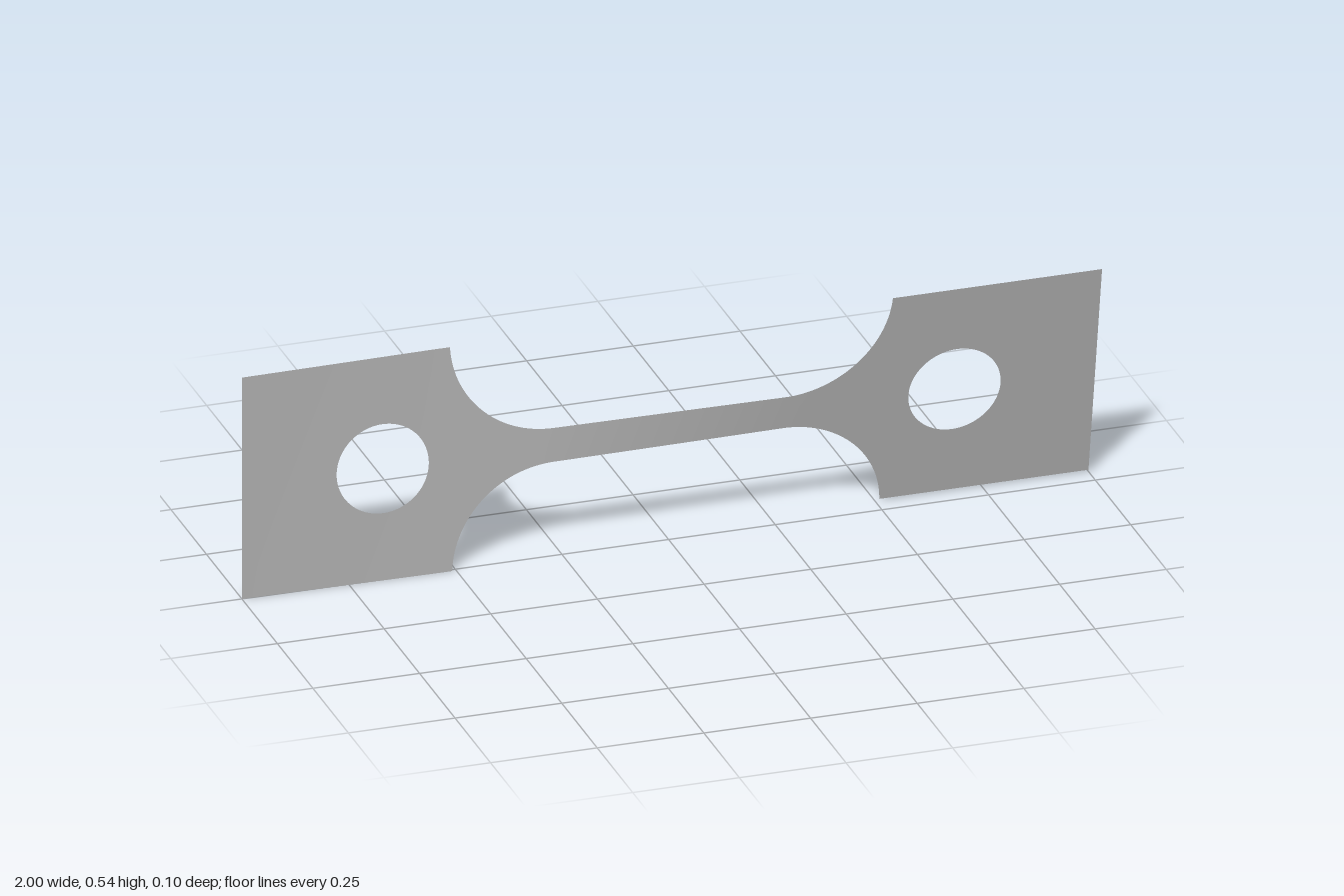
import * as THREE from 'three';

const MID = 0.271;                  // height of the long axis, also half the tab height
const NECK = 0.041;                 // half height of the neck
const FILLET = { x: 0.27, r: 0.24 };
const HOLE = { x: 0.67, r: 0.108 };
const ROWS = 6;

// Twist about the long axis in degrees, as [x, angle] stations
const TWIST = [[-1, 0], [-0.8, -0.7], [-0.55, -1.6], [-0.3, -1.7], [0.3, 9.6], [0.5, 10.2], [1, 10.2]];

function twist(x) {
  let i = 0;
  while (i < TWIST.length - 2 && x > TWIST[i + 1][0]) i++;
  const [x0, a0] = TWIST[i], [x1, a1] = TWIST[i + 1];
  return THREE.MathUtils.degToRad(a0 + (a1 - a0) * (x - x0) / (x1 - x0));
}

// Half height of the outline at x
function outer(x) {
  const d = Math.abs(x) - FILLET.x;
  if (d <= 0) return NECK;
  if (d >= FILLET.r - 1e-6) return MID;
  return Math.min(MID, NECK + FILLET.r - Math.sqrt(FILLET.r ** 2 - d * d));
}

// Half height of the round hole at x
function inner(x) {
  const d = Math.abs(x) - HOLE.x;
  return Math.sqrt(Math.max(0, HOLE.r ** 2 - d * d));
}

// Twisted sheet over sorted x stations, upper and lower halves
function sheet(xs) {
  const pos = [], nor = [], index = [];
  for (const side of [1, -1]) {
    const base = pos.length / 3;
    for (const x of xs) {
      const a = twist(x);
      const slope = (twist(Math.min(1, x + 0.04)) - twist(Math.max(-1, x - 0.04))) / 0.08;
      for (let j = 0; j <= ROWS; j++) {
        const s = side * THREE.MathUtils.lerp(inner(x), outer(x), j / ROWS);
        pos.push(x, MID + s * Math.cos(a), s * Math.sin(a));
        const n = new THREE.Vector3(-s * slope, -Math.sin(a), Math.cos(a)).normalize();
        nor.push(n.x, n.y, n.z);
      }
    }
    for (let i = 0; i < xs.length - 1; i++) {
      for (let j = 0; j < ROWS; j++) {
        const p = base + i * (ROWS + 1) + j, q = p + ROWS + 1;
        if (side > 0) index.push(p, q, q + 1, p, q + 1, p + 1);
        else index.push(p, q + 1, q, p, p + 1, q + 1);
      }
    }
  }
  const g = new THREE.BufferGeometry();
  g.setAttribute('position', new THREE.Float32BufferAttribute(pos, 3));
  g.setAttribute('normal', new THREE.Float32BufferAttribute(nor, 3));
  g.setIndex(index);
  return g;
}

// n + 1 stations from f(0) to f(1)
const stations = (n, f) => Array.from({ length: n + 1 }, (_, i) => f(i / n));

export function createModel() {
  const model = new THREE.Group();
  const metal = new THREE.MeshStandardMaterial({ color: 0xb0b0b0, side: THREE.DoubleSide });
  metal.name = 'grey metal';

  const edge = FILLET.x + FILLET.r;
  const neckXs = stations(40, t => FILLET.x * (2 * t - 1));
  const filletXs = stations(32, t => FILLET.x + FILLET.r * Math.sin(t * Math.PI / 2));
  const tabXs = [
    edge,
    ...stations(48, t => HOLE.x - HOLE.r * Math.cos(t * Math.PI)),
    ...stations(6, t => THREE.MathUtils.lerp(HOLE.x + HOLE.r, 1, t)).slice(1),
  ];
  const mirrored = xs => xs.map(x => -x).reverse();

  const parts = {
    neck: neckXs,
    leftShoulder: filletXs,
    rightShoulder: mirrored(filletXs),
    leftTab: tabXs,
    rightTab: mirrored(tabXs),
  };
  for (const [name, xs] of Object.entries(parts)) {
    const mesh = new THREE.Mesh(sheet(xs), metal);
    mesh.name = name;
    model.add(mesh);
  }
  return model;
}
